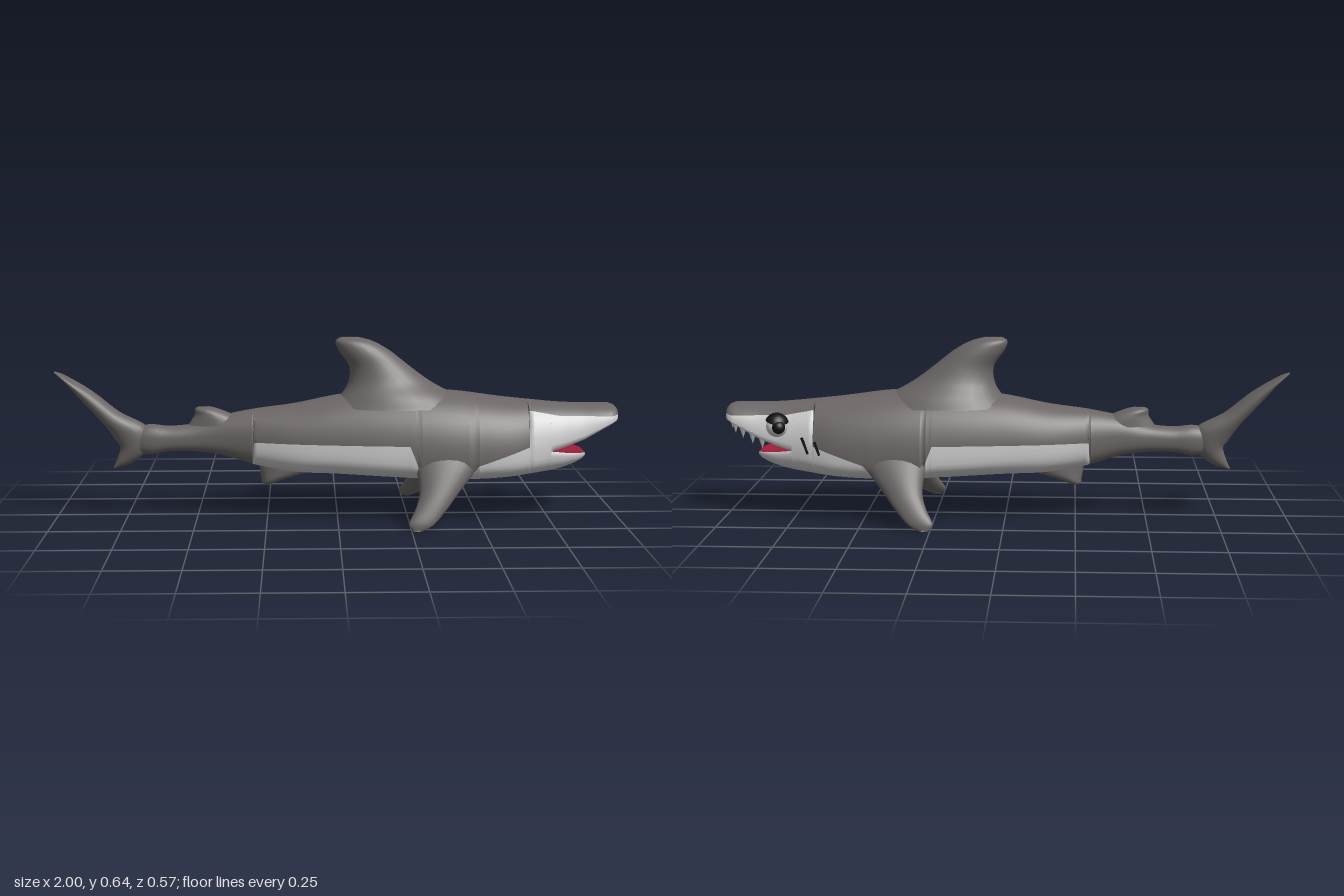
import * as THREE from 'three';

const mat = (color) => new THREE.MeshStandardMaterial({ color, side: THREE.DoubleSide });
const MATS = {
  grey: mat(0x6c6666), pale: mat(0xcccccc), red: mat(0x9c1f3a), black: mat(0x111111), throat: mat(0x575353),
};

// Interpolates rows of [x, a, b, ...] at any x, smoothly or linearly
function track(rows, Kind = THREE.CubicInterpolant) {
  const size = rows[0].length - 1;
  const it = new Kind(rows.map((r) => r[0]), rows.flatMap((r) => r.slice(1)), size, new Array(size));
  return (x) => [...it.evaluate(x)];
}

// Joins closed rings of points; paint(i, j) picks the colour of each patch
function skin(name, rings, paint) {
  const n = rings[0].length, parts = {};
  for (let i = 0; i < rings.length - 1; i++) {
    for (let j = 0; j < n; j++) {
      const k = (j + 1) % n, a = i * n + j, b = i * n + k, c = a + n, d = b + n;
      (parts[paint(i, j)] ??= []).push(a, b, c, b, d, c);
    }
  }
  const all = new THREE.BufferGeometry();
  all.setAttribute('position', new THREE.Float32BufferAttribute(rings.flat(2), 3));
  all.setIndex(Object.values(parts).flat());
  all.computeVertexNormals();
  const group = new THREE.Group();
  group.name = name;
  for (const [colour, index] of Object.entries(parts)) {
    const g = new THREE.BufferGeometry();
    g.setAttribute('position', all.attributes.position);
    g.setAttribute('normal', all.attributes.normal);
    g.setIndex(index);
    const m = new THREE.Mesh(g, MATS[colour]);
    m.name = `${name}_${colour}`;
    group.add(m);
  }
  return group;
}

// Body section: x, top, widest height, bottom, half width
const body = track([
  [-0.76, 0.29, 0.275, 0.26, 0.015], [-0.68, 0.33, 0.28, 0.225, 0.042], [-0.6, 0.325, 0.28, 0.235, 0.045],
  [-0.5, 0.335, 0.285, 0.235, 0.05], [-0.4, 0.365, 0.29, 0.22, 0.065], [-0.3, 0.385, 0.28, 0.19, 0.09],
  [-0.15, 0.405, 0.26, 0.165, 0.13], [0, 0.435, 0.25, 0.16, 0.155], [0.2, 0.455, 0.235, 0.15, 0.18],
  [0.4, 0.45, 0.225, 0.142, 0.19], [0.6, 0.425, 0.23, 0.148, 0.172], [0.75, 0.41, 0.25, 0.165, 0.125],
]);
// Upper jaw: x, top, lip height, half width
const upper = track([
  [0.75, 0.41, 0.25, 0.125], [0.8, 0.406, 0.263, 0.112], [0.87, 0.403, 0.288, 0.1], [0.93, 0.404, 0.32, 0.092],
  [0.97, 0.403, 0.341, 0.084], [0.988, 0.397, 0.35, 0.072], [0.997, 0.388, 0.358, 0.052], [1, 0.373, 0.369, 0.006],
], THREE.LinearInterpolant);
// Lower jaw: x, lip height, bottom, half width
const lower = track([
  [0.75, 0.25, 0.165, 0.125], [0.8, 0.242, 0.176, 0.107], [0.84, 0.238, 0.19, 0.092],
  [0.87, 0.235, 0.205, 0.072], [0.882, 0.232, 0.214, 0.052], [0.888, 0.226, 0.222, 0.006],
], THREE.LinearInterpolant);
// Height where the dark back meets the pale belly
const border = track([
  [-0.8, 0], [-0.3, 0], [-0.295, 0.28], [0.25, 0.28], [0.27, 0.23], [0.29, 0.17], [0.46, 0.17], [0.49, 0.21],
  [0.67, 0.27], [0.675, 0.39], [0.78, 0.37], [0.97, 0.366], [1, 0.372],
], THREE.LinearInterpolant);

const NU = 2.2, NL = 2.8, UP = 16, LOW = 12;
// Point at angle a (0 top, PI bottom) on a rounded section
function rim(x, [yT, yM, yB, w], a) {
  const c = Math.cos(a), e = 2 / (c > 0 ? NU : NL);
  return [x, yM + (c > 0 ? yT - yM : yB - yM) * Math.abs(c) ** e, w * Math.max(0, Math.sin(a)) ** e];
}
// Angle at which that section reaches height y
function angleAt([yT, yM, yB], y) {
  const t = Math.min(1, y > yM ? (y - yM) / (yT - yM) : (yM - y) / (yM - yB));
  return y > yM ? Math.acos(t ** (NU / 2)) : Math.PI - Math.acos(t ** (NL / 2));
}
const span = (a, b, n) => Array.from({ length: n + 1 }, (_, i) => a + ((b - a) * i) / n);
const flip = ([x, y, z]) => [x, y, -z];

function makeBody() {
  const xs = [...span(-0.76, 0.75, 76), -0.3, -0.295, 0.25, 0.27, 0.29, 0.46, 0.49, 0.67, 0.675].sort((a, b) => a - b)
    .filter((x, i, l) => !i || x - l[i - 1] > 1e-4);
  const rings = xs.map((x) => {
    const s = body(x), ab = Math.min(angleAt(s, border(x)[0]), Math.PI * 0.93);
    const half = [...span(0, ab, UP), ...span(ab, Math.PI, LOW).slice(1)].map((a) => rim(x, s, a));
    return [...half, ...half.slice(1, -1).reverse().map(flip)];
  });
  const paint = (i, j) => (xs[i] > -0.301 && j >= UP && j < UP + 2 * LOW ? 'pale' : 'grey');
  return skin('body', rings, paint);
}

function makeUpperJaw() {
  const xs = [...span(0.75, 0.97, 16), 0.976, 0.982, 0.988, 0.993, 0.997, 0.999, 1];
  const rings = xs.map((x) => {
    const [yT, lip, w] = upper(x), s = [yT, lip, lip - 0.1, w];
    const ab = Math.min(angleAt(s, border(x)[0]), Math.PI * 0.47);
    const half = [...span(0, ab, UP), ...span(ab, Math.PI / 2, 8).slice(1)].map((a) => rim(x, s, a));
    // Gum and arched palate between the lips
    const arch = Math.min(0.085, (yT - lip) * 0.6);
    const roof = span(0, Math.PI, 16).map((a) => [x, lip + arch * Math.sin(a), w * 0.78 * Math.cos(a)]);
    return [...half, ...roof, ...half.slice(1).reverse().map(flip)];
  });
  const n = rings[0].length;
  return skin('upperJaw', rings, (i, j) => {
    const k = Math.min(j, n - 1 - j);
    return k < UP ? 'grey' : k < UP + 11 ? 'pale' : 'throat';
  });
}

function makeLowerJaw() {
  const xs = [...span(0.75, 0.87, 10), 0.876, 0.882, 0.885, 0.888];
  const rings = xs.map((x) => {
    const [lip, yB, w] = lower(x), s = [lip + 0.1, lip, yB, w];
    const half = span(Math.PI / 2, Math.PI, 14).map((a) => rim(x, s, a));
    const floor = span(-0.9, 0.9, 8).map((t) => [x, lip - (lip - yB) * 0.2 * (1 - t * t), w * t]);
    return [...half, ...half.slice(0, -1).reverse().map(flip), ...floor];
  });
  return skin('lowerJaw', rings, (i, j) => (j < 28 ? 'pale' : 'red'));
}

// Fin from rows of [leadX, leadY, trailX, trailY, z, half thickness], thickened along dir
function fin(name, rows, dir = [0, 0, 1]) {
  const at = track(rows.map((r, i) => [i, ...r]));
  const rings = span(0, rows.length - 1, (rows.length - 1) * 5).map((u) => {
    const [ax, ay, bx, by, z, t] = at(u);
    return span(0, 2 * Math.PI, 24).slice(1).map((a) => {
      const c = Math.cos(a) / 2, s = Math.sin(a) * t;
      return [(ax + bx) / 2 + (ax - bx) * c + dir[0] * s, (ay + by) / 2 + (ay - by) * c + dir[1] * s, z + dir[2] * s];
    });
  });
  return skin(name, rings, () => 'grey');
}
// Upright fin from rows of [leadX, trailX, y, half thickness]
const upright = (name, rows) => fin(name, rows.map(([a, b, y, t]) => [a, y, b, y, 0, t]));

function mesh(name, geometry, colour, x, y, z) {
  const m = new THREE.Mesh(geometry, MATS[colour]);
  m.name = name;
  m.position.set(x, y, z);
  return m;
}

export function createModel() {
  const shark = new THREE.Group();
  shark.name = 'shark';
  shark.add(makeBody(), makeUpperJaw(), makeLowerJaw());

  shark.add(upright('dorsalFin', [
    [0.47, -0.03, 0.4, 0.145], [0.41, 0.015, 0.44, 0.125], [0.33, 0.04, 0.485, 0.09], [0.255, 0.042, 0.54, 0.068],
    [0.185, 0.005, 0.595, 0.056], [0.125, -0.006, 0.628, 0.042], [0.07, 0.015, 0.643, 0.012],
  ]));
  shark.add(upright('rearDorsalFin', [
    [-0.3, -0.53, 0.33, 0.05], [-0.37, -0.508, 0.365, 0.044], [-0.425, -0.506, 0.387, 0.034], [-0.46, -0.49, 0.396, 0.008],
  ]));
  shark.add(upright('bellyFin', [
    [-0.05, -0.28, 0.2, 0.05], [-0.1, -0.276, 0.16, 0.05], [-0.18, -0.272, 0.135, 0.044],
    [-0.225, -0.27, 0.119, 0.032], [-0.245, -0.262, 0.112, 0.008],
  ]));
  shark.add(fin('tailFin', [
    [-0.785, 0.175, -0.8, 0.175, 0, 0.008], [-0.735, 0.192, -0.785, 0.21, 0, 0.025], [-0.68, 0.24, -0.774, 0.25, 0, 0.038],
    [-0.675, 0.32, -0.79, 0.275, 0, 0.044], [-0.775, 0.377, -0.828, 0.33, 0, 0.046], [-0.87, 0.452, -0.905, 0.416, 0, 0.044],
    [-0.96, 0.505, -0.965, 0.486, 0, 0.038], [-1, 0.522, -0.999, 0.518, 0, 0.014],
  ]));
  for (const s of [1, -1]) {
    shark.add(fin(s > 0 ? 'leftPectoralFin' : 'rightPectoralFin', [
      [0.53, 0.24, 0.25, 0.24, 0.13, 0.05], [0.47, 0.18, 0.275, 0.18, 0.172, 0.042], [0.415, 0.12, 0.28, 0.12, 0.212, 0.032],
      [0.37, 0.068, 0.263, 0.07, 0.246, 0.022], [0.325, 0.024, 0.24, 0.028, 0.273, 0.013], [0.285, 0.004, 0.255, 0.005, 0.283, 0.004],
    ].map(([a, b, c, d, z, t]) => [a, b, c, d, s * z, t]), [0, 0.5, s * 0.86]));
  }

  // Hollow back of the mouth
  const throat = mesh('throat', new THREE.SphereGeometry(1, 24, 16), 'throat', 0.75, 0.25, 0);
  throat.geometry = new THREE.SphereGeometry(1, 24, 16, -Math.PI / 2, Math.PI, 0, Math.PI / 2);
  throat.geometry.scale(0.1, 0.086, 0.098);
  shark.add(throat);

  // Teeth along the right side of the upper lip
  for (const [x, k] of [[0.86, 0.9], [0.895, 0.9], [0.93, 0.88], [0.96, 0.75], [0.98, 0.3]]) {
    const [, lip, w] = upper(x);
    const tooth = mesh('tooth', new THREE.ConeGeometry(0.015, 0.045, 4), 'pale', x, lip - 0.012, -w * k);
    tooth.rotation.x = Math.PI;
    shark.add(tooth);
  }

  // Right eye with heavy lid and pupil
  const eye = new THREE.Group();
  eye.name = 'rightEye';
  eye.position.set(0.8, 0.337, -0.125);
  const lid = mesh('eyelid', new THREE.SphereGeometry(0.043, 28, 12, 0, Math.PI * 2, 0, Math.PI * 0.38), 'black', 0, 0.006, 0);
  lid.rotation.set(-0.2, 0, 0.15);
  const pupil = mesh('pupil', new THREE.SphereGeometry(0.023, 20, 14), 'black', -0.012, 0.002, -0.029);
  eye.add(mesh('eyeball', new THREE.SphereGeometry(0.037, 28, 20), 'pale', 0, 0, 0), lid, pupil);
  shark.add(eye);

  // Gill slits on the right cheek
  for (const [x, y, h] of [[0.655, 0.265, 0.05], [0.7, 0.272, 0.062]]) {
    const slit = mesh('gillSlit', new THREE.BoxGeometry(0.008, h, 0.008), 'black', x, y, -body(x)[3] - 0.001);
    slit.rotation.z = -0.35;
    shark.add(slit);
  }
  return shark;
}
